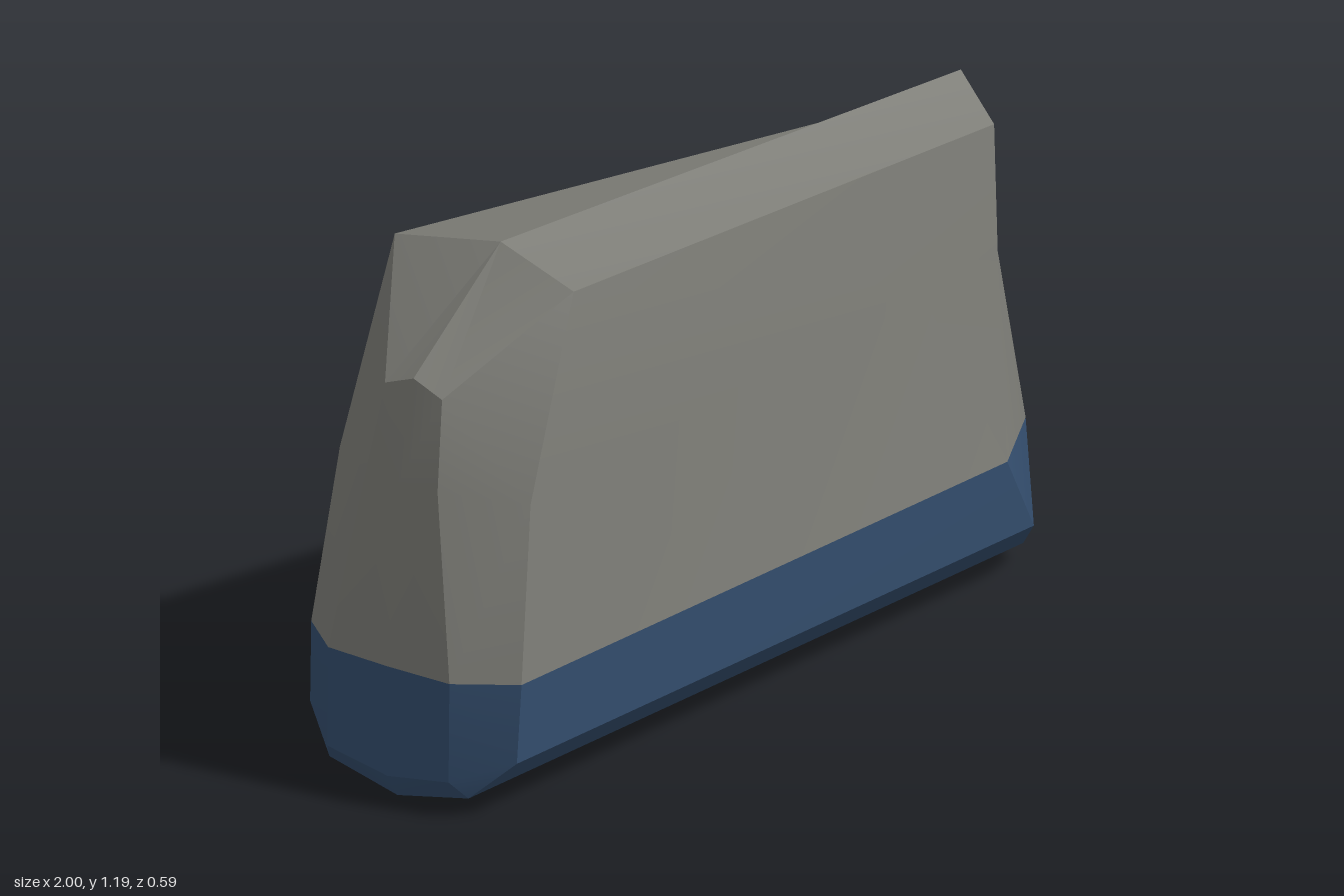
import * as THREE from 'three';
import { toCreasedNormals } from 'three/addons/utils/BufferGeometryUtils.js';

// Skins stacked ten-point rings; each quad is split along its shorter diagonal.
function skin(rings) {
  const pos = [];
  const tri = (...pts) => {
    const [a, b, c] = pts.map((p) => new THREE.Vector3(...p));
    const area = b.clone().sub(a).cross(c.clone().sub(a)).length();
    if (area > 1e-6) pts.forEach((p) => pos.push(...p)); // skip collapsed corners
  };
  const dist = (p, q) => Math.hypot(p[0] - q[0], p[1] - q[1], p[2] - q[2]);
  for (let r = 0; r < rings.length - 1; r++) {
    const lo = rings[r], hi = rings[r + 1], n = lo.length;
    for (let i = 0; i < n; i++) {
      const j = (i + 1) % n;
      if (dist(lo[j], hi[i]) < dist(lo[i], hi[j])) {
        tri(lo[i], lo[j], hi[i]);
        tri(lo[j], hi[j], hi[i]);
      } else {
        tri(lo[i], lo[j], hi[j]);
        tri(lo[i], hi[j], hi[i]);
      }
    }
  }
  const g = new THREE.BufferGeometry();
  g.setAttribute('position', new THREE.Float32BufferAttribute(pos, 3));
  return toCreasedNormals(g, 0.4);
}

// Ring mirrored front to back: front left, front right, right corner, right middle, left middle, left corner
function mirrored(fl, fr, rc, rm, lm, lc) {
  const back = ([x, y, z]) => [x, y, -z];
  return [fl, fr, rc, rm, back(rc), back(fr), back(fl), back(lc), lm, lc];
}

export function createModel() {
  const stone = new THREE.MeshStandardMaterial({ color: 0x7c7c76 });
  stone.name = 'stone grey';
  const blue = new THREE.MeshStandardMaterial({ color: 0x344e6e });
  blue.name = 'dark blue';

  // Seam shared by the two parts
  const seam = mirrored([-0.9, 0.313, 0.295], [0.77, 0.313, 0.297], [0.995, 0.313, 0.165],
    [1, 0.313, 0], [-1, 0.313, 0], [-0.995, 0.313, 0.17]);

  // Base: keel line, chamfered underside, upright sides
  const keelL = [-0.965, 0, 0], keelR = [0.95, 0, 0];
  const base = [
    mirrored(keelL, keelR, keelR, keelR, keelL, keelL),
    mirrored([-0.96, 0.04, 0.195], [0.95, 0.04, 0.195], [0.95, 0.04, 0.195], keelR, keelL, [-0.96, 0.04, 0.195]),
    mirrored([-0.91, 0.13, 0.29], [0.87, 0.13, 0.29], [0.998, 0.083, 0.17],
      [1, 0.056, 0], [-1, 0.056, 0], [-0.998, 0.083, 0.17]),
    seam,
  ];

  // Body: uneven faceted block narrowing to a sloping ridge
  const ridgeL = [-0.61, 1.187, 0], ridgeR = [0.95, 1.106, 0.02];
  const shoulderF = [0.905, 1.025, 0.15], shoulderB = [0.92, 1.025, -0.08];
  const body = [
    seam,
    [[-0.82, 0.7, 0.255], [0.53, 0.79, 0.24], [0.905, 0.73, 0.16], [0.985, 0.68, 0.08], [0.98, 0.67, -0.07],
      [0.54, 0.8, -0.29], [-0.82, 0.7, -0.28], [-0.95, 0.73, -0.1], [-0.965, 0.73, 0], [-0.95, 0.73, 0.1]],
    [[-0.61, 1.122, 0.205], shoulderF, shoulderF, [0.975, 1.05, 0.02], shoulderB,
      shoulderB, [-0.61, 1.13, -0.297], [-0.91, 0.93, -0.08], [-0.91, 0.96, 0], [-0.91, 0.93, 0.08]],
    [ridgeL, ridgeR, ridgeR, ridgeR, ridgeR, ridgeR, ridgeL, ridgeL, ridgeL, ridgeL],
  ];

  const group = new THREE.Group();
  group.name = 'boulder';
  for (const [name, rings, mat] of [['base', base, blue], ['body', body, stone]]) {
    const mesh = new THREE.Mesh(skin(rings), mat);
    mesh.name = name;
    group.add(mesh);
  }
  return group;
}
